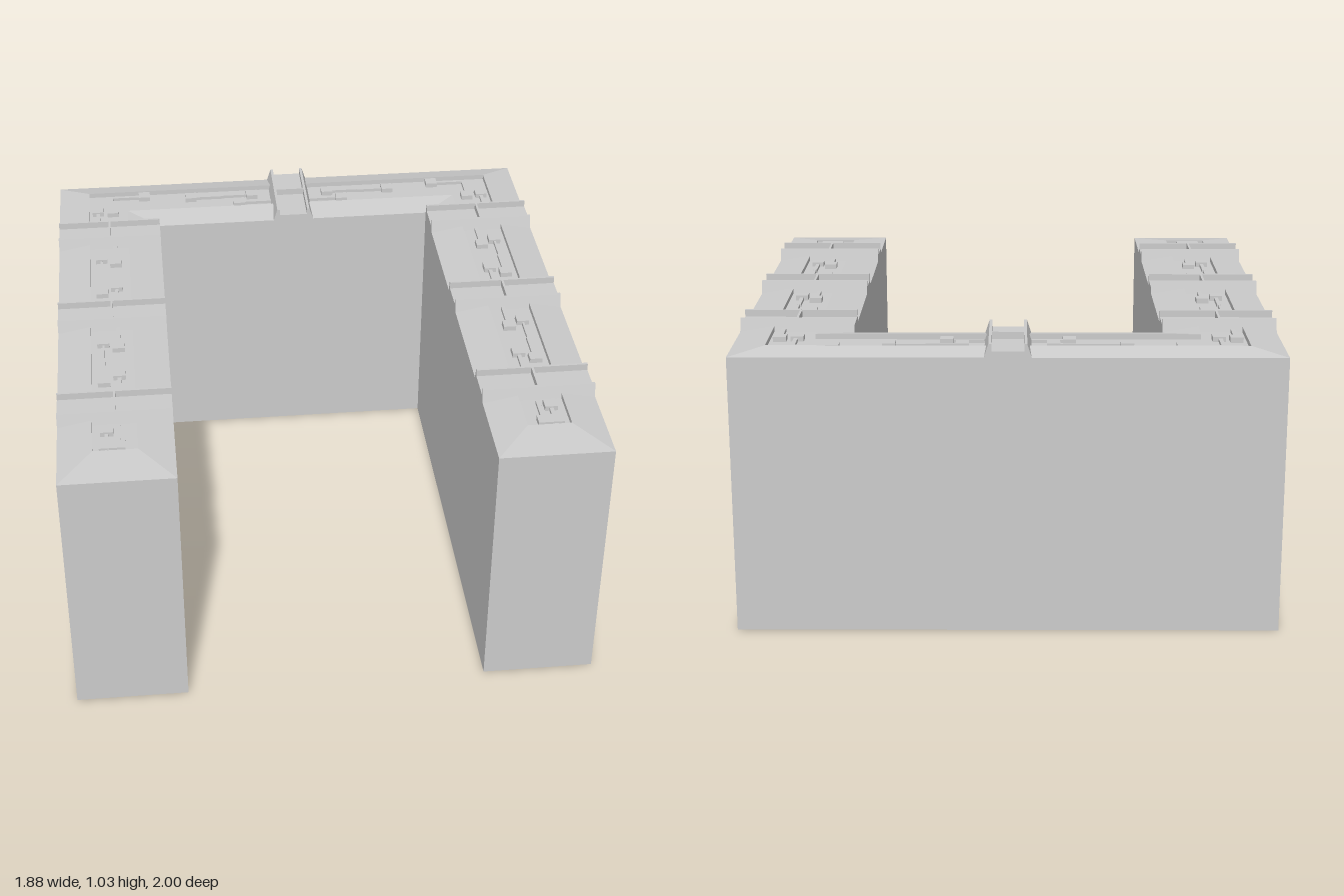
import * as THREE from 'three';

const mat = new THREE.MeshStandardMaterial({ color: 0xcccccc, flatShading: true, side: THREE.DoubleSide });
const WALL_TOP = 0.98, RIDGE = 1.0, PIT = 0.981, RIB_TOP = 1.027;

// U-shaped outlines as [x, z]: outer footprint and inset panel edge
const footprint = [[-0.94, 1], [-0.54, 1], [-0.54, -0.66], [0.54, -0.66], [0.54, 1], [0.94, 1], [0.94, -1], [-0.94, -1]];
const panel = [[-0.82, 0.85], [-0.665, 0.85], [-0.665, -0.76], [0.665, -0.76], [0.665, 0.85], [0.82, 0.85], [0.82, -0.915], [-0.82, -0.915]];

function add(parent, geometry, name) {
  const mesh = new THREE.Mesh(geometry, mat);
  mesh.name = name;
  parent.add(mesh);
  return mesh;
}

// Band of quads joining two outlines at two heights
function band(lower, y0, upper, y1) {
  const pos = [];
  lower.forEach((a, i) => {
    const j = (i + 1) % lower.length;
    const p = [a[0], y0, a[1]], q = [lower[j][0], y0, lower[j][1]];
    const r = [upper[j][0], y1, upper[j][1]], s = [upper[i][0], y1, upper[i][1]];
    pos.push(...p, ...q, ...r, ...p, ...r, ...s);
  });
  const g = new THREE.BufferGeometry();
  g.setAttribute('position', new THREE.Float32BufferAttribute(pos, 3));
  g.computeVertexNormals();
  return g;
}

// Rib running along z: two sloped thin walls, a cross divider and a floor
function makeRib(length, name) {
  const rib = new THREE.Group();
  rib.name = name;
  for (const s of [-1, 1]) {
    const pts = [[0.055, WALL_TOP], [0.08, WALL_TOP], [0.065, RIB_TOP], [0.055, RIB_TOP]];
    const shape = new THREE.Shape(pts.map(([x, y]) => new THREE.Vector2(s * x, y)));
    const g = new THREE.ExtrudeGeometry(shape, { depth: length, bevelEnabled: false });
    add(rib, g.translate(0, 0, -length / 2), 'ribWall');
  }
  const h = RIB_TOP - WALL_TOP;
  add(rib, new THREE.BoxGeometry(0.112, h, 0.008), 'ribDivider').position.y = WALL_TOP + h / 2;
  add(rib, new THREE.BoxGeometry(0.112, 0.022, length), 'ribFloor').position.y = WALL_TOP + 0.011;
  return rib;
}

export function createModel() {
  const model = new THREE.Group();
  model.name = 'uShapedWall';

  // Hollow wall shell, open underneath, with a sloped coping and a sunken panel
  add(model, band(footprint, 0, footprint, WALL_TOP), 'walls');
  add(model, band(footprint, WALL_TOP, panel, RIDGE), 'slopedCoping');
  add(model, band(panel, RIDGE, panel, PIT), 'panelEdge');
  const floor = new THREE.ShapeGeometry(new THREE.Shape(panel.map(([x, z]) => new THREE.Vector2(x, -z))));
  add(model, floor.rotateX(-Math.PI / 2).translate(0, PIT, 0), 'panelFloor');

  // Ribs: three across each leg, one across the back
  for (const side of [-1, 1]) {
    for (const z of [0.6, 0.012, -0.578]) {
      const rib = makeRib(0.4, 'legRib');
      rib.rotation.y = Math.PI / 2;
      rib.position.set(side * 0.74, 0, z);
      model.add(rib);
    }
  }
  const backRib = makeRib(0.34, 'backRib');
  backRib.position.z = -0.83;
  model.add(backRib);

  // Raised pads [x, z] and strips [x0, z0, x1, z1, width], mirrored on both sides
  const pads = [[0.77, 0.725], [0.73, 0.815], [0.775, -0.78 + 1.595],
    [0.595, -0.887], [0.725, -0.77], [0.785, -0.78],
    [0.405, -0.862], [0.155, -0.862], [0.21, -0.805]];
  const strips = [[0.77, 0.725, 0.77, 0.84, 0.014], [0.73, 0.815, 0.73, 0.7, 0.014],
    [0.595, -0.887, 0.73, -0.887, 0.014], [0.73, -0.887, 0.73, -0.77, 0.014],
    [0.785, -0.78, 0.785, -0.66, 0.014],
    [0.405, -0.862, 0.28, -0.862, 0.014], [0.28, -0.862, 0.155, -0.862, 0.008],
    [0.21, -0.805, 0.08, -0.805, 0.012]];
  for (const z of [0, -0.59]) {
    pads.push([0.775, z + 0.18], [0.72, z + 0.213], [0.72, z + 0.39], [0.775, z + 0.43]);
    strips.push([0.775, z + 0.18, 0.775, z + 0.3, 0.008], [0.775, z + 0.3, 0.775, z + 0.43, 0.014],
      [0.72, z + 0.213, 0.72, z + 0.09, 0.014], [0.72, z + 0.39, 0.72, z + 0.51, 0.014]);
  }
  for (const side of [-1, 1]) {
    const details = new THREE.Group();
    details.name = side > 0 ? 'leftPanelDetails' : 'rightPanelDetails';
    for (const [x, z] of pads) {
      add(details, new THREE.BoxGeometry(0.045, 0.018, 0.045), 'pad').position.set(side * x, PIT + 0.009, z);
    }
    for (const [x0, z0, x1, z1, w] of strips) {
      const g = new THREE.BoxGeometry(Math.abs(x1 - x0) || w, 0.012, Math.abs(z1 - z0) || w);
      add(details, g, 'strip').position.set(side * (x0 + x1) / 2, PIT + 0.006, (z0 + z1) / 2);
    }
    model.add(details);
  }
  return model;
}
